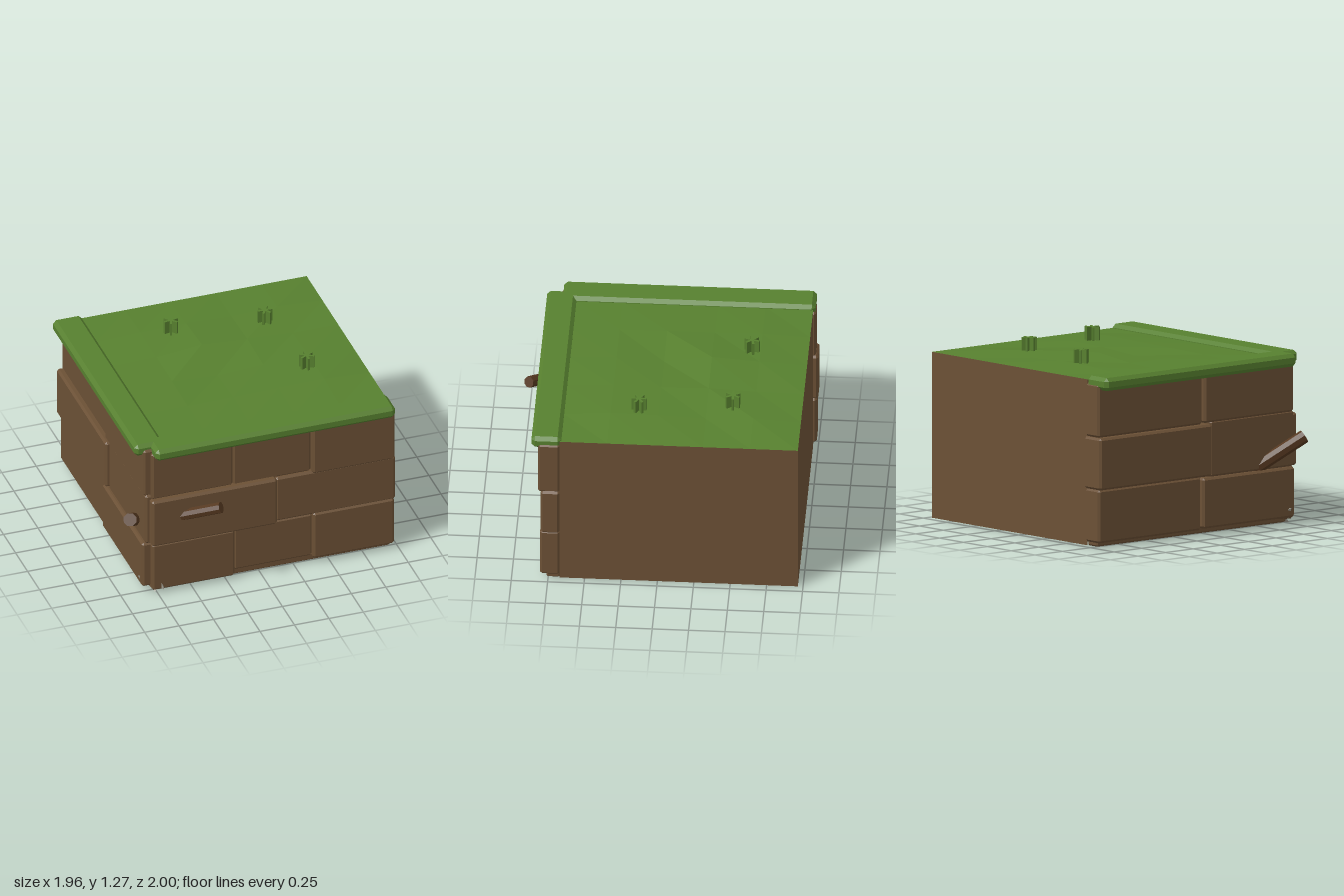
import * as THREE from 'three';
import { ConvexGeometry } from 'three/addons/geometries/ConvexGeometry.js';

const mat = (color, side = THREE.FrontSide) =>
  new THREE.MeshStandardMaterial({ color, side, flatShading: true });

// Block between two corners with all edges chamfered by c
function chamferBox([x0, y0, z0], [x1, y1, z1], c) {
  const pts = [];
  for (const [x, sx] of [[x0, c], [x1, -c]])
    for (const [y, sy] of [[y0, c], [y1, -c]])
      for (const [z, sz] of [[z0, c], [z1, -c]])
        pts.push(
          new THREE.Vector3(x, y + sy, z + sz),
          new THREE.Vector3(x + sx, y, z + sz),
          new THREE.Vector3(x + sx, y + sy, z));
  return new ConvexGeometry(pts);
}

export function createModel() {
  const model = new THREE.Group();
  const dirt = mat(0x6b5035), earth = mat(0x6b5035, THREE.DoubleSide);
  const grass = mat(0x57802f), turf = mat(0x57802f, THREE.DoubleSide);
  const bark = mat(0x553820), stone = mat(0xa09c90);

  const add = (name, geometry, material, parent = model) => {
    const mesh = new THREE.Mesh(geometry, material);
    mesh.name = name;
    parent.add(mesh);
    return mesh;
  };
  const group = (name) => {
    const g = new THREE.Group();
    g.name = name;
    model.add(g);
    return g;
  };

  // Front blocks: x0, x1, y0, y1, front z
  const front = group('frontBlocks');
  [
    [-0.79, -0.2, 0.77, 1.14, 0.8], [-0.2, 0.37, 0.76, 1.14, 0.79], [0.37, 0.97, 0.75, 1.15, 0.82],
    [-0.8, 0.11, 0.41, 0.775, 0.835], [0.11, 0.98, 0.41, 0.76, 0.8],
    [-0.79, -0.19, 0.04, 0.41, 0.81], [-0.19, 0.38, 0.07, 0.41, 0.785], [0.38, 0.97, 0.055, 0.42, 0.805],
  ].forEach(([x0, x1, y0, y1, z]) =>
    add('frontBlock', chamferBox([x0, y0, 0.67], [x1, y1, z], 0.015), dirt, front));

  // Side blocks: z0, z1, y0, y1, outer x
  const side = group('sideBlocks');
  [
    [-0.985, -0.04, 0.78, 1.15, -0.82], [-0.04, 0.77, 0.79, 1.16, -0.84],
    [-1.0, 0.02, 0.42, 0.78, -0.855], [0.02, 0.78, 0.41, 0.8, -0.83],
    [-0.99, -0.06, 0.05, 0.42, -0.83], [-0.06, 0.77, 0.06, 0.41, -0.85],
  ].forEach(([z0, z1, y0, y1, x]) =>
    add('sideBlock', chamferBox([x, y0, z0], [-0.68, y1, z1], 0.015), dirt, side));

  // Recessed footing below the blocks
  add('frontFooting', chamferBox([-0.77, 0.02, 0.67], [0.95, 0.08, 0.76], 0.01), dirt);
  add('sideFooting', chamferBox([-0.78, 0.02, -0.965], [-0.68, 0.08, 0.74], 0.01), dirt);

  // Flat cut walls on the other two sides; the underside stays open
  const back = add('backWall', new THREE.PlaneGeometry(1.63, 1.15), earth);
  back.rotation.y = Math.PI;
  back.position.set(0.135, 0.595, -0.965);
  const cut = add('leftWall', new THREE.PlaneGeometry(1.635, 1.15), earth);
  cut.rotation.y = Math.PI / 2;
  cut.position.set(0.95, 0.595, -0.1475);

  // Gently bumpy turf, one row of heights (in hundredths above 1.17) per grid line
  const bumps = [
    [0, 0, 0, 0, 0, 0],
    [0, 1.5, 2, 0.5, 2, 0],
    [0, 1, 4.5, 2, 0, 0],
    [0, 1, -1, 1, 1.5, 0],
    [0, 0.5, 1, 1.5, 2, 0],
    [0, 0, 0, 0, 0, 0],
  ];
  const ground = new THREE.PlaneGeometry(1.65, 1.635, 5, 5).rotateX(-Math.PI / 2);
  const pos = ground.attributes.position;
  for (let i = 0; i < pos.count; i++) pos.setY(i, bumps[Math.floor(i / 6)][i % 6] / 100);
  ground.translate(0.125, 1.17, -0.1475);
  add('turf', ground, turf);

  // Raised grass rim over the two block walls
  add('sideRim', chamferBox([-0.895, 1.11, -0.98], [-0.685, 1.2, 0.755], 0.025), grass);
  add('frontRim', chamferBox([-0.78, 1.11, 0.66], [0.96, 1.2, 0.865], 0.025), grass);

  // Star-shaped grass tufts
  [[-0.17, -0.58, 0.2], [0.48, -0.49, 0], [0.56, 0.15, 0.5]].forEach(([x, z, turn]) => {
    const tuft = group('grassTuft');
    tuft.position.set(x, 1.22, z);
    for (let i = 0; i < 3; i++)
      add('blade', new THREE.BoxGeometry(0.105, 0.12, 0.016), grass, tuft)
        .rotation.y = turn + i * Math.PI / 3;
  });

  // Roots sticking out of the walls
  const root = (name, a, b, r) => {
    const from = new THREE.Vector3(...a), to = new THREE.Vector3(...b);
    const dir = to.clone().sub(from);
    const mesh = add(name, new THREE.CylinderGeometry(r, r, dir.length(), 8), bark);
    mesh.position.copy(from).add(to).multiplyScalar(0.5);
    mesh.quaternion.setFromUnitVectors(new THREE.Vector3(0, 1, 0), dir.normalize());
  };
  root('frontRoot', [-0.63, 0.585, 0.765], [-0.345, 0.72, 0.965], 0.04);
  root('sideRoot', [-0.67, 0.27, 0.24], [-0.94, 0.63, 0.775], 0.047);

  // Small stones at the bottom corner
  [[-0.82, 0.1, 0.71, 0.055, 0.4], [-0.72, 0.075, 0.79, 0.045, 1.3], [-0.745, 0.035, 0.765, 0.035, 0]]
    .forEach(([x, y, z, r, turn]) => {
      const pebble = add('stone', new THREE.TetrahedronGeometry(r), stone);
      pebble.position.set(x, y, z);
      pebble.rotation.set(turn, turn * 2, 0);
    });

  return model;
}
